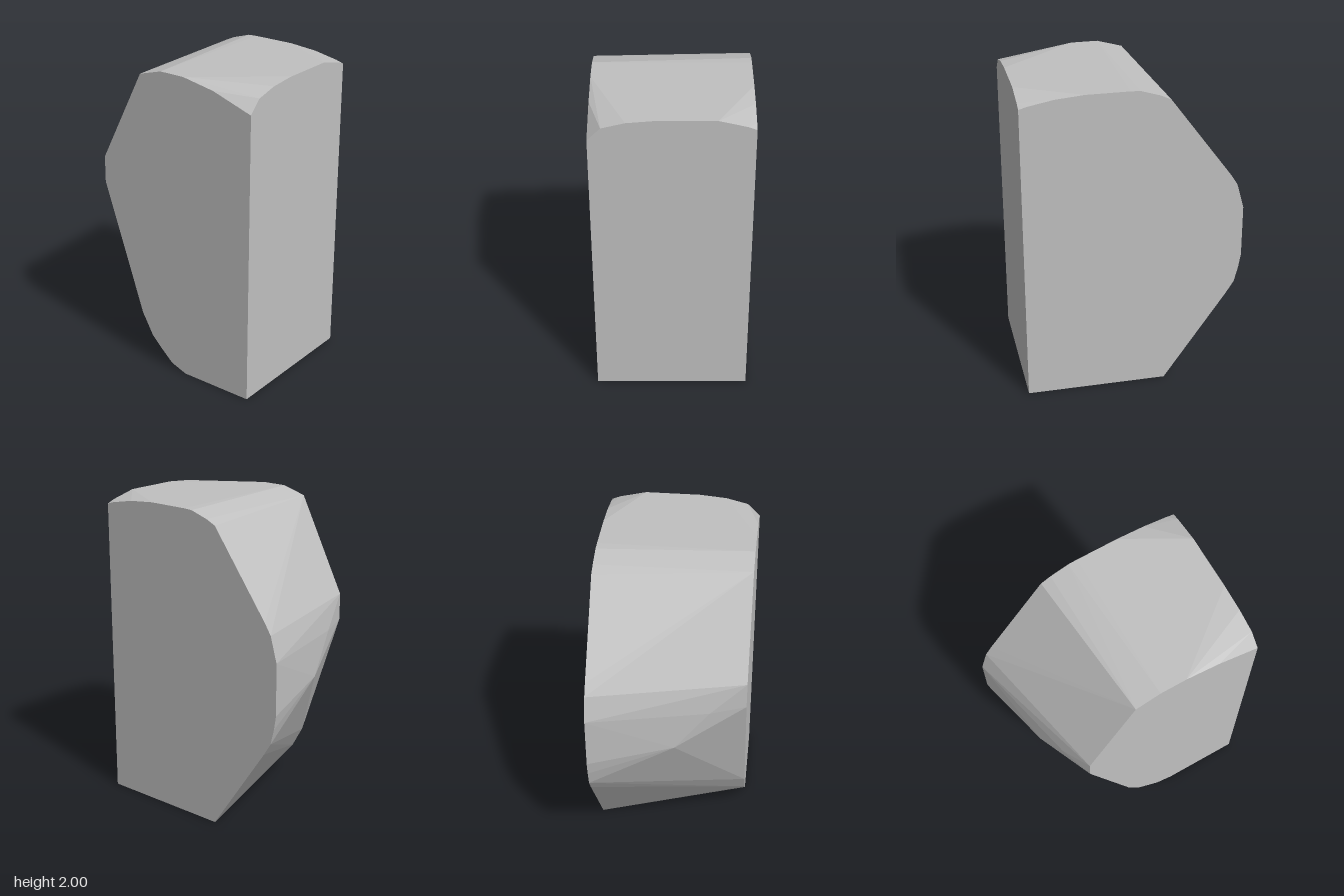
import * as THREE from 'three';
import { ConvexGeometry } from 'three/addons/geometries/ConvexGeometry.js';

// Side outlines as [z, y], from the front bottom corner round the back to the front top
const leftOutline = [
  [0.69, 0], [-0.2, 0], [-0.6, 0.58], [-0.65, 0.66], [-0.675, 0.76], [-0.69, 0.85],
  [-0.69, 1.18], [-0.645, 1.34], [-0.6, 1.41], [-0.215, 1.93], [-0.15, 1.96],
  [-0.03, 1.997], [0.03, 2], [0.3, 2], [0.48, 1.985], [0.64, 1.955], [0.69, 1.94],
];
const rightOutline = [
  [0.69, 0], [0.2, 0], [0.09, 0.04], [0, 0.12], [-0.07, 0.19], [-0.15, 0.33],
  [-0.44, 1.18], [-0.44, 1.35], [-0.13, 1.955], [0.03, 2], [0.2, 2],
  [0.42, 1.96], [0.69, 1.87],
];
// Worn top edge of the front face as [x, y]
const frontEdge = [[-0.4, 1.95], [-0.26, 1.985], [-0.09, 2], [0.26, 2], [0.43, 1.96]];
// Slight bulges on the sloping back
const backBulges = [[-0.26, 1.17, -0.515], [-0.05, 0.93, -0.572]];

export function createModel() {
  const group = new THREE.Group();
  const stone = new THREE.MeshStandardMaterial({ color: 0xc0c0c0 });
  stone.name = 'pale grey stone';

  // Faceted block: flat front and sides, chipped top and back
  const points = [
    ...leftOutline.map(([z, y]) => new THREE.Vector3(0.48, y, z)),
    ...rightOutline.map(([z, y]) => new THREE.Vector3(-0.48, y, z)),
    ...frontEdge.map(([x, y]) => new THREE.Vector3(x, y, 0.69)),
    ...backBulges.map((p) => new THREE.Vector3(...p)),
  ];
  const block = new THREE.Mesh(new ConvexGeometry(points), stone);
  block.name = 'stoneBlock';
  group.add(block);
  return group;
}
